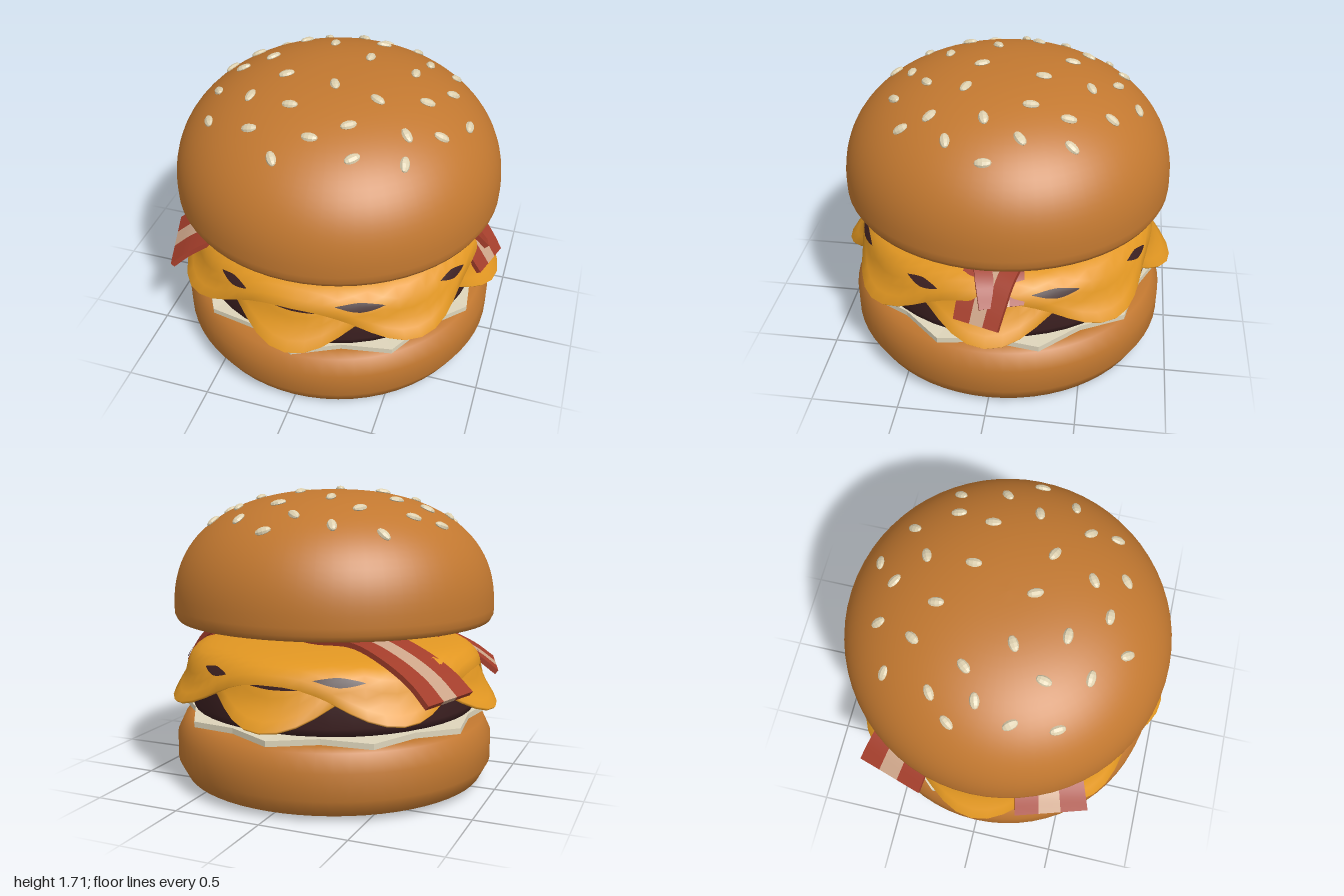
import * as THREE from 'three';
import { mergeVertices } from 'three/addons/utils/BufferGeometryUtils.js';

const mat = (name, color) => {
  const m = new THREE.MeshStandardMaterial({ color });
  m.name = name;
  return m;
};

export function createModel() {
  const bun = mat('toasted bun', 0xc27830);
  const cheese = mat('cheese', 0xe29722);
  const meat = mat('grilled meat', 0x3c2021);
  const red = mat('bacon red', 0xa33d2a);
  const pale = mat('bacon fat', 0xcca488);
  const cream = mat('onion', 0xded5bb);
  const seedMat = mat('sesame', 0xdccfae);
  seedMat.flatShading = cream.flatShading = true;

  const group = new THREE.Group();
  const add = (name, geo, material, parent = group) => {
    const mesh = new THREE.Mesh(geo, material);
    mesh.name = name;
    parent.add(mesh);
    return mesh;
  };
  const lathe = (pts, n) => new THREE.LatheGeometry(pts.map(p => new THREE.Vector2(...p)), n);

  // Bottom bun
  add('bottomBun', lathe([[0, 0], [0.8, 0], [0.89, 0.035], [0.94, 0.13], [0.94, 0.28],
    [0.895, 0.375], [0.84, 0.395], [0, 0.395]], 64), bun);

  // Onion slice with a zigzag rim
  const onion = new THREE.CylinderGeometry(0.88, 0.88, 0.032, 20);
  const op = onion.attributes.position;
  for (let i = 0; i < op.count; i++) {
    const x = op.getX(i), z = op.getZ(i);
    if (Math.hypot(x, z) < 0.1) continue;
    const outer = Math.round(Math.atan2(x, z) / (Math.PI / 10)) % 2 === 0;
    const k = outer ? 1.035 : 0.95;
    op.setXYZ(i, x * k, op.getY(i) + (outer ? -0.006 : 0.004), z * k);
  }
  onion.computeVertexNormals();
  add('onionSlice', onion, cream).position.y = 0.414;

  // Patty
  add('patty', lathe([[0, 0.425], [0.78, 0.428], [0.84, 0.45], [0.852, 0.49], [0.852, 0.62],
    [0.835, 0.69], [0.76, 0.75], [0, 0.77]], 48), meat);

  // Cheese: a plane wrapped round the burger along a drooping profile
  const droop = new THREE.SplineCurve([[0, 0.835], [0.3, 0.835], [0.55, 0.825], [0.77, 0.79], [0.845, 0.73],
    [0.87, 0.64], [0.92, 0.56], [0.99, 0.49]].map(p => new THREE.Vector2(...p)));
  const total = droop.getLength();
  const drape = (geo, rule) => {
    const p = geo.attributes.position;
    for (let i = 0; i < p.count; i++) {
      const [theta, s, offset] = rule(p.getX(i), p.getY(i));
      const u = Math.min(1, Math.max(0, s / total));
      const a = droop.getPointAt(u), t = droop.getTangentAt(u);
      const r = u === 0 ? 0 : a.x - t.y * offset;
      p.setXYZ(i, r * Math.sin(theta), a.y + t.x * offset, r * Math.cos(theta));
    }
    geo.deleteAttribute('uv');
    geo.deleteAttribute('normal');
    const merged = mergeVertices(geo, 1e-5);
    merged.computeVertexNormals();
    return merged;
  };
  const rows = 18;
  const slice = (turn, lift, tip) => drape(
    new THREE.PlaneGeometry(1, 1, 64, rows * 2 + 1), (x, y) => {
      const theta = x * Math.PI * 2;
      const reach = 0.9 + (total * tip - 0.9) * Math.abs(Math.cos(2 * (theta - turn))) ** 3;
      const row = Math.round((0.5 - y) * (rows * 2 + 1));
      const top = row <= rows;
      const k = (top ? row : rows * 2 + 1 - row) / rows;
      return [theta, k * reach, lift + (top ? 0 : -0.018)];
    });
  add('lowerCheese', slice(0, 0, 1), cheese);
  add('upperCheese', slice(Math.PI / 4, 0.015, 0.97), cheese);

  // Patty showing through gaps in the cheese
  const patch = (angle, half, s, height, lift) => drape(
    new THREE.PlaneGeometry(1, 1, 8, 2), (x, y) =>
      [angle + 2 * x * half, s - 2 * y * height * (1 - Math.abs(2 * x) ** 1.5) + 0.012 * x, lift]);
  for (let i = 0; i < 8; i++) {
    const angle = (i + 0.5) * Math.PI / 4 + (i % 2 ? -0.05 : 0.04);
    add('meatPatch', patch(angle, i % 2 ? 0.12 : 0.16, 0.872, 0.024, 0.021), meat);
  }
  for (const angle of [0, Math.PI])
    add('meatSliver', patch(angle, 0.2, 0.905, 0.014, 0.005), meat);

  // Bacon strips: three lengthwise bands along a wavy path
  const bacon = (name, pts, width0, width1) => {
    const strip = new THREE.Group();
    strip.name = name;
    group.add(strip);
    const path = new THREE.CatmullRomCurve3(pts.map(p => new THREE.Vector3(...p)));
    const first = path.getPoint(0), last = path.getPoint(1);
    const side = new THREE.Vector3(first.z - last.z, 0, last.x - first.x).normalize();
    [['baconEdge', red, -0.5, -0.17], ['baconFat', pale, -0.17, 0.13], ['baconEdge', red, 0.13, 0.5]]
      .forEach(([part, material, from, to]) => {
        const geo = new THREE.BoxGeometry(1, 0.03, 1, 40, 1, 1);
        const p = geo.attributes.position;
        for (let i = 0; i < p.count; i++) {
          const u = p.getX(i) + 0.5;
          const across = THREE.MathUtils.lerp(from, to, p.getZ(i) + 0.5) * THREE.MathUtils.lerp(width0, width1, u);
          const up = new THREE.Vector3().crossVectors(side, path.getTangent(u)).normalize();
          const v = path.getPoint(u).addScaledVector(side, across).addScaledVector(up, p.getY(i));
          p.setXYZ(i, v.x, v.y, v.z);
        }
        geo.computeVertexNormals();
        add(part, geo, material, strip);
      });
  };
  bacon('backBacon', [[-0.87, 0.635, -0.52], [-0.76, 0.73, -0.484], [-0.58, 0.825, -0.425], [-0.38, 0.885, -0.36],
    [-0.1, 0.87, -0.27], [0.25, 0.895, -0.16], [0.5, 0.885, -0.08], [0.76, 0.81, 0], [0.87, 0.7, 0.03],
    [0.94, 0.605, 0.05]], 0.41, 0.26);
  bacon('frontBacon', [[-0.87, 0.63, 0.46], [-0.76, 0.715, 0.425], [-0.58, 0.805, 0.365], [-0.3, 0.875, 0.275],
    [0, 0.918, 0.18], [0.3, 0.872, 0.08], [0.6, 0.86, -0.02], [0.79, 0.79, -0.06], [0.88, 0.69, -0.08]], 0.43, 0.24);

  // Top bun: a superellipse dome on a bevelled base
  const R = 0.94, H = 0.665, base = 1.03, P = 2.3;
  const domeY = r => base + H * Math.max(0, 1 - (r / R) ** P) ** (1 / P);
  const dome = [[0, 0.955], [0.87, 0.955], [0.922, 0.96], [0.938, 0.99]];
  for (let i = 0; i <= 24; i++) {
    const r = R * Math.cos(i / 24 * Math.PI / 2) ** (2 / P);
    dome.push(i === 24 ? [0, base + H] : [r, domeY(r)]);
  }
  add('topBun', lathe(dome, 64), bun);

  // Sesame seeds: x, z and turn in degrees
  const seeds = [
    [0.09, -0.73, 20], [-0.26, -0.64, -60], [-0.03, -0.61, -40], [0.31, -0.59, 70], [-0.51, -0.55, -20],
    [0.13, -0.47, 25], [-0.33, -0.43, 60], [-0.13, -0.35, -85], [0.43, -0.37, -85], [0.58, -0.4, 60],
    [-0.58, -0.28, 30], [0.12, -0.21, 90], [0.39, -0.17, -85], [0.61, -0.14, 40], [-0.7, -0.16, 50],
    [-0.43, -0.13, 50], [-0.58, -0.04, 15], [-0.27, 0.09, 30], [0.02, 0.14, -65], [0.27, 0.19, -25],
    [0.51, 0.06, 15], [0.74, 0.03, -85], [0.63, 0.24, 10], [-0.65, 0.16, -50], [-0.41, 0.28, 80],
    [-0.61, 0.4, -60], [-0.16, 0.35, 0], [0.18, 0.42, 35], [0.47, 0.35, -45], [-0.33, 0.51, 0],
    [0.01, 0.54, 0], [0.25, 0.59, 45], [0.5, 0.5, -75], [-0.15, 0.67, -60]];
  const seedGeo = new THREE.SphereGeometry(1, 8, 6).rotateZ(Math.PI / 2).scale(0.045, 0.018, 0.027);
  const upAxis = new THREE.Vector3(0, 1, 0);
  for (const [x, z, turn] of seeds) {
    const r = Math.hypot(x, z), y = domeY(r);
    const slope = (r / R) ** (P - 1) / R;
    const normal = new THREE.Vector3(x / r * slope, ((y - base) / H) ** (P - 1) / H, z / r * slope).normalize();
    const seed = add('sesameSeed', seedGeo, seedMat);
    seed.position.set(x, y, z).addScaledVector(normal, 0.004);
    seed.quaternion.setFromUnitVectors(upAxis, normal)
      .multiply(new THREE.Quaternion().setFromAxisAngle(upAxis, THREE.MathUtils.degToRad(turn)));
  }
  return group;
}
